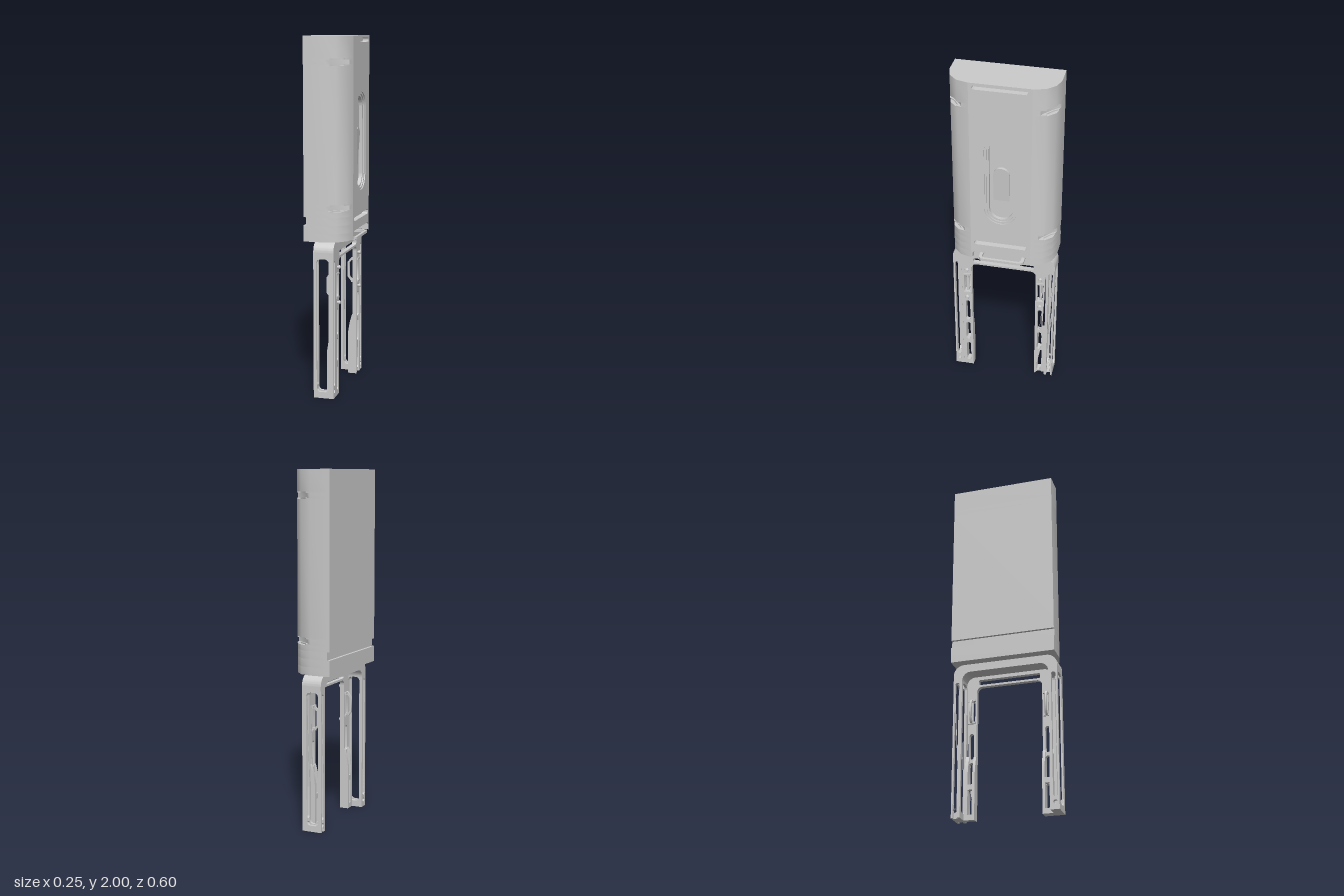
import * as THREE from 'three';
import { toCreasedNormals } from 'three/addons/utils/BufferGeometryUtils.js';

const material = new THREE.MeshStandardMaterial({ color: 0xcccccc });

function add(parent, name, geometry) {
  const mesh = new THREE.Mesh(geometry, material);
  mesh.name = name;
  parent.add(mesh);
  return mesh;
}

function extrude(shape, depth, crease = 0.7) {
  const geo = new THREE.ExtrudeGeometry(shape, { depth, bevelEnabled: false, curveSegments: 8 });
  return toCreasedNormals(geo, crease);
}
// Outline in (z, y), thickness along x
const slabX = (shape, x0, x1) => extrude(shape, x1 - x0).rotateY(Math.PI / 2).translate(x0, 0, 0);
// Outline in (x, z), thickness along y
const slabY = (shape, y0, y1) => extrude(shape, y1 - y0).rotateX(-Math.PI / 2).translate(0, y0, 0);
// Outline in (x, y), thickness along z
const slabZ = (shape, z0, z1) => extrude(shape, z1 - z0).translate(0, 0, z0);
const box = (x0, x1, y0, y1, z0, z1) => new THREE.BoxGeometry(x1 - x0, y1 - y0, z1 - z0)
  .translate((x0 + x1) / 2, (y0 + y1) / 2, (z0 + z1) / 2);

const poly = (points) => new THREE.Shape(points.map(([x, y]) => new THREE.Vector2(x, y)));

// Rectangle with rounded corners; fully rounded ends by default
function rounded(u0, u1, v0, v1, r = Math.min(u1 - u0, v1 - v0) / 2) {
  const s = new THREE.Shape();
  s.absarc(u1 - r, v1 - r, r, 0, Math.PI / 2);
  s.absarc(u0 + r, v1 - r, r, Math.PI / 2, Math.PI);
  s.absarc(u0 + r, v0 + r, r, Math.PI, Math.PI * 1.5);
  s.absarc(u1 - r, v0 + r, r, Math.PI * 1.5, Math.PI * 2);
  s.closePath();
  return s;
}

// Upside-down U with rounded shoulders
function arch(w, top, r, wi, topi, ri, y0) {
  const s = new THREE.Shape();
  s.moveTo(w, y0);
  s.absarc(w - r, top - r, r, 0, Math.PI / 2);
  s.absarc(-w + r, top - r, r, Math.PI / 2, Math.PI);
  s.lineTo(-w, y0);
  s.lineTo(-wi, y0);
  s.absarc(-wi + ri, topi - ri, ri, Math.PI, Math.PI / 2, true);
  s.absarc(wi - ri, topi - ri, ri, Math.PI / 2, 0, true);
  s.lineTo(wi, y0);
  s.closePath();
  return s;
}

// Mirrors half of a horizontal section (x, z) across z = 0
const section = (half) => poly([...half, ...half.map(([x, z]) => [x, -z]).reverse()]);

function buildCase() {
  const g = new THREE.Group();
  g.name = 'case';
  const back = [[-0.127, 0.3]];
  const corner = [[-0.01, 0.3], [0.053, 0.283], [0.1, 0.236]];
  const face = [[0.118, 0.17], [0.085, 0.17]];
  const plain = section([...back, ...corner, ...face]);
  const notched = section([[-0.112, 0.17], [-0.112, 0.3], ...corner, ...face]);
  const under = section([...back, ...corner, [0.118, 0.17], [0.045, 0.165]]);
  const grooveEnd = section([...back, [-0.01, 0.3], [0.02, 0.292], [0.035, 0.27], [0.08, 0.235], [0.094, 0.242], [0.1, 0.236], ...face]);
  const groove = section([...back, [-0.01, 0.3], [0.003, 0.297], [0.022, 0.272], [0.082, 0.222], [0.107, 0.21], ...face]);

  // Shell stacked from horizontal slices
  let y = 0.885;
  const slice = (name, shape, top) => { add(g, name, slabY(shape, y, top)); y = top; };
  slice('caseBottom', under, 0.93);
  slice('caseShell', plain, 0.975);
  slice('backNotches', notched, 1.02);
  for (const mid of [1.07, 1.86]) {
    slice('caseShell', plain, mid - 0.02);
    slice('cornerGrooveEdge', grooveEnd, mid - 0.013);
    slice('cornerGroove', groove, mid + 0.013);
    slice('cornerGrooveEdge', grooveEnd, mid + 0.02);
  }
  slice('caseShell', plain, 2);

  // Face panel with slots, oval window and lower cutout
  const panel = poly([[-0.17, 2], [-0.17, 0.885], [-0.162, 0.885], [-0.162, 0.92], [-0.152, 0.93],
    [0.152, 0.93], [0.162, 0.92], [0.162, 0.885], [0.17, 0.885], [0.17, 2]]);
  panel.holes.push(rounded(-0.15, 0.15, 1.963, 1.987), rounded(-0.15, 0.15, 0.982, 1.008),
    rounded(-0.09, 0.09, 1.14, 1.69));
  add(g, 'facePanel', slabX(panel, 0.085, 0.118));

  // Stepped rim inside the window
  [[0.09, 0.078, 0.112], [0.08, 0.066, 0.105]].forEach(([outer, inner, x]) => {
    const rim = rounded(-outer, outer, 1.23 - outer, 1.6 + outer);
    rim.holes.push(rounded(-inner, inner, 1.23 - inner, 1.6 + inner));
    add(g, 'windowRim', slabX(rim, 0.084, x));
  });

  // Sloping thumb tab
  const tab = new THREE.Shape();
  tab.moveTo(-0.045, -0.22);
  tab.lineTo(0.045, -0.22);
  tab.absarc(0, -0.045, 0.045, 0, Math.PI);
  tab.closePath();
  const thumb = add(g, 'thumbTab', slabX(tab, -0.02, 0));
  thumb.position.set(0.1, 1.49, 0);
  thumb.rotation.z = -0.07;
  return g;
}

function buildFrame() {
  const g = new THREE.Group();
  g.name = 'frame';
  const outer = (y0) => arch(0.3, 0.885, 0.06, 0.25, 0.84, 0.05, y0);

  // Front and back plates of the outer arch
  for (const [x0, x1] of [[-0.073, -0.055], [0.015, 0.042]]) {
    const plate = outer(0);
    for (const s of [-1, 1]) {
      plate.holes.push(rounded(s * 0.2775 - 0.0125, s * 0.2775 + 0.0125, 0.07, 0.78),
        rounded(s * 0.2775 - 0.012, s * 0.2775 + 0.012, 0.028, 0.052));
    }
    add(g, 'archPlate', slabX(plate, x0, x1));
  }
  add(g, 'archTop', slabX(outer(0.79), -0.056, 0.016));

  // Inner arch with its row of slots
  const inner = arch(0.25, 0.84, 0.05, 0.19, 0.778, 0.03, 0);
  inner.holes.push(rounded(-0.18, 0.18, 0.79, 0.82, 0.008));
  for (const s of [-1, 1]) {
    const c = s * 0.2175;
    for (const [a, b] of [[0.03, 0.17], [0.2, 0.33], [0.35, 0.5]]) {
      inner.holes.push(rounded(c - 0.013, c + 0.013, a, b));
    }
    inner.holes.push(rounded(c - 0.018, c + 0.018, 0.57, 0.69, 0.006));
  }
  add(g, 'innerArch', slabX(inner, 0.015, 0.041));

  for (const s of [-1, 1]) {
    const leg = new THREE.Group();
    leg.name = s > 0 ? 'frontLeg' : 'backLeg';
    g.add(leg);
    const span = (a, b) => (s > 0 ? [a, b] : [-b, -a]);

    // Slotted side walls of the leg
    for (const [a, b] of [[0.25, 0.265], [0.29, 0.3]]) {
      const wall = poly([[-0.073, 0], [0.042, 0], [0.042, 0.825], [-0.073, 0.825]]);
      wall.holes.push(rounded(-0.055, 0.015, 0.035, 0.79, 0.022));
      add(leg, 'legWall', slabZ(wall, ...span(a, b)));
    }
    add(leg, 'foot', box(-0.056, 0.016, 0, 0.03, ...span(0.25, 0.3)));

    // Deeper lower rail with a sloping shoulder
    const rib = poly([[-0.01, 0], [0.02, 0], [0.02, 0.37], [0.012, 0.36], [-0.002, 0.31], [-0.01, 0.26]]);
    for (const [a, b] of [[0.19, 0.2045], [0.2305, 0.25]]) add(leg, 'lowerRib', slabZ(rib, ...span(a, b)));
    for (const [a, b] of [[0, 0.03], [0.17, 0.2]]) {
      add(leg, 'ribWeb', box(-0.01, 0.016, a, b, ...span(0.204, 0.231)));
    }

    // Clip loop across the upper opening
    const clip = poly([[0.03, 0.56], [0.03, 0.7], [0, 0.7], [-0.02, 0.675], [-0.02, 0.585], [0, 0.56]]);
    clip.holes.push(poly([[0.016, 0.575], [0.016, 0.685], [0.003, 0.685], [-0.009, 0.67], [-0.009, 0.59], [0.003, 0.575]]));
    add(leg, 'clipLoop', slabZ(clip, ...span(0.212, 0.223)));
    for (const y of [0.563, 0.697]) {
      add(leg, 'clipLug', box(0.005, 0.046, y - 0.006, y + 0.006, ...span(0.196, 0.239)));
    }

    // Pins
    for (const y of [0.535, 0.735]) {
      const stem = new THREE.CylinderGeometry(0.008, 0.008, 0.03, 12).rotateZ(Math.PI / 2);
      add(leg, 'pinStem', stem).position.set(0.043, y, s * 0.2175);
      const head = new THREE.CylinderGeometry(0.008, 0.012, 0.008, 12).rotateZ(-Math.PI / 2);
      add(leg, 'pinHead', head).position.set(0.055, y, s * 0.2175);
    }
  }

  // Flat pull loop under the case
  const loop = rounded(0.02, 0.125, -0.13, 0.13, 0.025);
  loop.holes.push(rounded(0.043, 0.11, -0.112, 0.112, 0.015));
  add(g, 'pullLoop', slabY(loop, 0.875, 0.89));
  return g;
}

export function createModel() {
  const model = new THREE.Group();
  model.name = 'caseOnFrame';
  model.add(buildCase(), buildFrame());
  return model;
}
